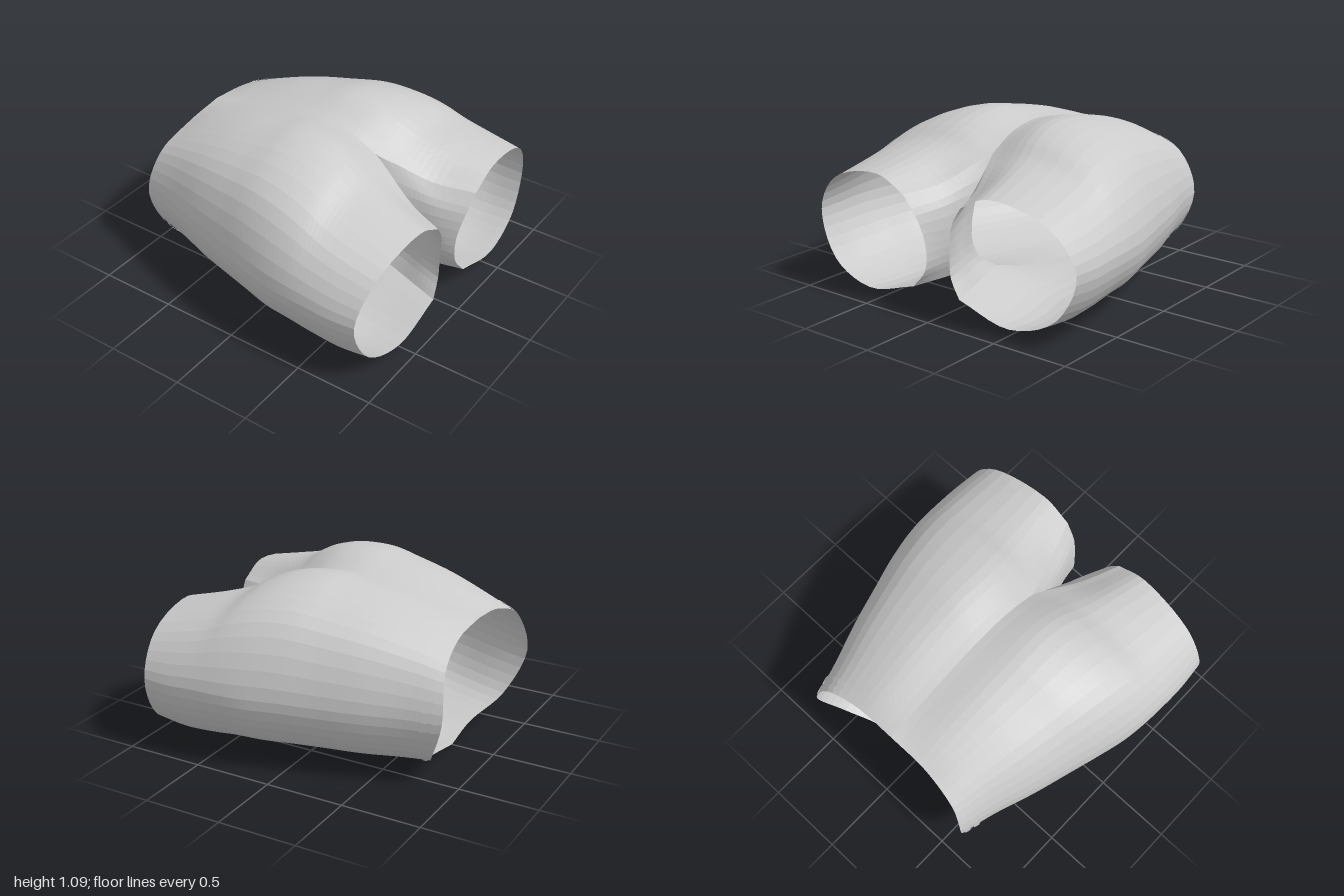
import * as THREE from 'three';

const V = (x, y, z) => new THREE.Vector3(x, y, z);
const sample = (pts, n) => {
  const c = new THREE.CatmullRomCurve3(pts);
  return Array.from({ length: n + 1 }, (_, i) => c.getPoint(i / n));
};

// Stations from waist to leg opening (half garment):
// zTop, zSide, zBottom, width, startX, startY, lobeX, lobeY, sideY, endX, endY, lowX, lowY
const body = [
  [-0.87, -0.94, -0.72, 0.63, 0, 0.885, 0.28, 0.85, 0.46, 0, 0.01, 0.28, 0.06],
  [-0.72, -0.72, -0.6, 0.69, 0, 0.92, 0.28, 0.92, 0.47, 0, 0.01, 0.3, 0.06],
  [-0.45, -0.45, -0.4, 0.785, 0, 0.985, 0.29, 1.01, 0.48, 0, 0.03, 0.35, 0.06],
  [-0.2, -0.2, -0.2, 0.86, 0, 1.03, 0.3, 1.065, 0.49, 0, 0.055, 0.4, 0.07],
  [0, 0, 0, 0.92, 0, 1.04, 0.3, 1.1, 0.5, 0, 0.085, 0.45, 0.075],
  [0.2, 0.2, 0.15, 0.97, 0, 1.0, 0.3, 1.085, 0.5, 0, 0.12, 0.5, 0.08],
];
const leg = [
  [0.36, 0.38, 0.35, 0.993, 0, 0.92, 0.32, 1.03, 0.5, 0, 0.18, 0.5, 0.075],
  [0.5, 0.54, 0.52, 1.0, 0.05, 0.86, 0.35, 0.95, 0.5, 0.06, 0.19, 0.53, 0.062],
  [0.7, 0.7, 0.72, 1.0, 0.13, 0.77, 0.38, 0.89, 0.49, 0.12, 0.18, 0.55, 0.06],
  [0.945, 0.88, 0.92, 0.985, 0.22, 0.74, 0.42, 0.83, 0.49, 0.18, 0.17, 0.55, 0.08],
];
// Inner thigh, bottom to top, from the crotch seam to the leg opening
const thigh = [
  [V(0, 0.3, 0.53), V(0, 0.45, 0.59), V(0, 0.7, 0.53)],
  [V(0.03, 0.3, 0.63), V(0.025, 0.45, 0.66), V(0.03, 0.68, 0.62)],
  [V(0.07, 0.3, 0.74), V(0.055, 0.45, 0.76), V(0.07, 0.65, 0.75)],
  [V(0.1, 0.28, 0.9), V(0.095, 0.45, 0.9), V(0.14, 0.62, 0.93)],
];
const AROUND = 30, INNER = 12, STEP = 5;

// Outer arc of one station, from top centre round the side to bottom centre
function outerArc([zT, zS, zB, w, x0, y0, lx, ly, sy, x1, y1, bx, by]) {
  const k = 0.71;
  return sample([
    V(x0, y0, zT), V(lx, ly, zT),
    V(lx + (w - lx) * k, sy + (ly - sy) * k, (zT + zS) / 2),
    V(w, sy, zS),
    V(bx + (w - bx) * k, sy + (by - sy) * k, (zB + zS) / 2),
    V(bx, by, zB), V(x1, y1, zB),
  ], AROUND);
}

// Smooth a stack of sections lengthwise; returns grid[row][column]
function loft(sections) {
  const rows = (sections.length - 1) * STEP;
  const cols = sections[0].map((_, j) => sample(sections.map(s => s[j]), rows));
  return Array.from({ length: rows + 1 }, (_, i) =>
    cols.map(c => V(Math.max(0, c[i].x), c[i].y, c[i].z)));
}

function gridMesh(name, grid, side, material) {
  const nc = grid[0].length, pos = [], idx = [];
  grid.forEach(r => r.forEach(p => pos.push(p.x * side, p.y, p.z)));
  for (let i = 0; i < grid.length - 1; i++) {
    for (let j = 0; j < nc - 1; j++) {
      const a = i * nc + j, b = a + nc, c = b + 1, d = a + 1;
      if (side > 0) idx.push(a, b, c, a, c, d);
      else idx.push(a, c, b, a, d, c);
    }
  }
  const g = new THREE.BufferGeometry();
  g.setAttribute('position', new THREE.Float32BufferAttribute(pos, 3));
  g.setIndex(idx);
  g.computeVertexNormals();
  const m = new THREE.Mesh(g, material);
  m.name = name;
  return m;
}

export function createModel() {
  const group = new THREE.Group();
  group.name = 'shorts';
  const cloth = new THREE.MeshStandardMaterial({
    color: 0xcccccc, flatShading: true, side: THREE.DoubleSide,
  });

  const outer = loft([...body, ...leg].map(outerArc));

  // Inner thigh shares its edges with the outer shell
  const inner = loft(leg.map((row, i) => {
    const arc = outerArc(row);
    return sample([arc[AROUND], ...thigh[i], arc[0]], INNER);
  }));
  inner.forEach((r, i) => {
    const o = outer[body.length * STEP + i];
    r[0] = o[AROUND];
    r[INNER] = o[0];
  });

  // Raised waistband strips, lifted slightly off the shell
  const strip = (t0, t1, j0, j1) => [t0, t1].map(t =>
    outer[0].slice(j0, j1).map((p, j) => {
      const q = p.clone().lerp(outer[STEP][j + j0], t);
      return V(q.x * 1.012, 0.46 + (q.y - 0.46) * 1.012, q.z);
    }));

  for (const side of [1, -1]) {
    const label = side > 0 ? 'left' : 'right';
    group.add(gridMesh(label + 'Shell', outer, side, cloth));
    group.add(gridMesh(label + 'InnerThigh', inner, side, cloth));
    group.add(gridMesh(label + 'WaistStripUpper', strip(0.08, 0.24, 6, 22), side, cloth));
    group.add(gridMesh(label + 'WaistStripLower', strip(0.36, 0.52, 7, 20), side, cloth));
  }
  return group;
}
